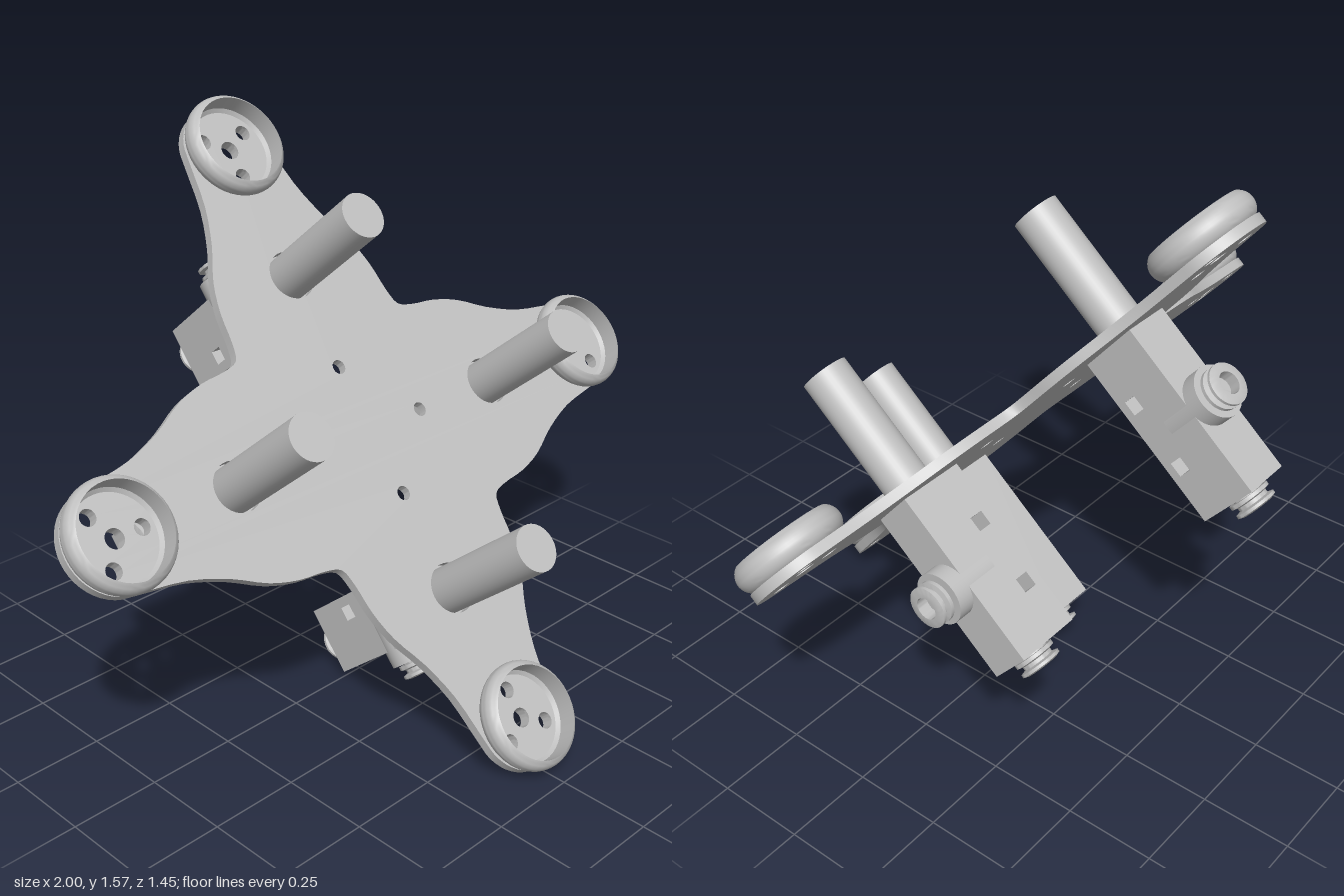
import * as THREE from 'three';
import { toCreasedNormals } from 'three/addons/utils/BufferGeometryUtils.js';

const grey = new THREE.MeshStandardMaterial({ color: 0xbfbfbf });
grey.name = 'light grey';

const THICK = 0.027;        // plate thickness
const POST = 0.471;         // radial position of the posts
const WHEEL = 0.853;        // radial position of the round feet

function part(name, geometry, parent) {
  const mesh = new THREE.Mesh(geometry, grey);
  mesh.name = name;
  parent.add(mesh);
  return mesh;
}

function lathe(points, segments = 40) {
  const g = new THREE.LatheGeometry(points.map(([r, h]) => new THREE.Vector2(r, h)), segments);
  return toCreasedNormals(g, 0.6);
}

function extrude(shape, depth) {
  const g = new THREE.ExtrudeGeometry(shape, { depth, bevelEnabled: false, curveSegments: 20 });
  return toCreasedNormals(g, 0.6);
}

function addRoundHole(shape, x, y, r) {
  const hole = new THREE.Path();
  hole.absarc(x, y, r, 0, Math.PI * 2, true);
  shape.holes.push(hole);
}

// Four mounting holes of a foot: one centred, one inward and two outward
function footHoles(cx) {
  const list = [[cx, 0, 0.026]];
  for (const a of [60, 180, 300]) {
    const t = THREE.MathUtils.degToRad(a);
    list.push([cx + 0.08 * Math.cos(t), 0.08 * Math.sin(t), 0.022]);
  }
  return list;
}

// Four-armed plate with a smooth outline
function plateGeometry() {
  const side = [[0.72, 0.16], [0.61, 0.2], [0.515, 0.25], [0.43, 0.275], [0.345, 0.285]];
  const arm = side.slice().reverse().map(([x, y]) => [x, -y]);
  for (let a = -90; a <= 90; a += 22.5) {
    const t = THREE.MathUtils.degToRad(a);
    arm.push([0.85 + 0.139 * Math.cos(t), 0.139 * Math.sin(t)]);
  }
  arm.push(...side, [0.3, 0.3]);
  const outline = [];
  const holes = [];
  for (let k = 0; k < 4; k++) {
    const c = Math.round(Math.cos(k * Math.PI / 2)), s = Math.round(Math.sin(k * Math.PI / 2));
    const turn = (x, y) => [c * x - s * y, s * x + c * y];
    arm.forEach(([x, y]) => outline.push(new THREE.Vector3(...turn(x, y), 0)));
    for (const [x, y, r] of [...footHoles(WHEEL), [POST, 0, 0.069], [0.19, 0, 0.02]]) {
      holes.push([...turn(x, y), r]);
    }
  }
  const curve = new THREE.CatmullRomCurve3(outline, true, 'centripetal');
  const pts = curve.getPoints(240).slice(0, -1);
  const shape = new THREE.Shape(pts.map(p => new THREE.Vector2(p.x, p.y)));
  holes.forEach(h => addRoundHole(shape, ...h));
  return extrude(shape, THICK);
}

// Rounded outer ring of a foot with a straight inner wall
function ringGeometry() {
  const pts = [[0.1, -0.007]];
  for (let i = 0; i <= 14; i++) {
    const a = THREE.MathUtils.degToRad(-90 + i * 148 / 14);
    pts.push([0.103 + 0.043 * Math.cos(a), 0.036 + 0.043 * Math.sin(a)]);
  }
  pts.push([0.124, 0.018], [0.114, 0.007]);
  return lathe(pts, 48).rotateX(Math.PI / 2);
}

function footFloorGeometry() {
  const shape = new THREE.Shape();
  shape.absarc(0, 0, 0.122, 0, Math.PI * 2, false);
  footHoles(0).forEach(h => addRoundHole(shape, ...h));
  return extrude(shape, 0.008);
}

// Valve block with two square cross holes
function blockGeometry() {
  const top = -THICK + 0.001, bottom = -0.514;
  const shape = new THREE.Shape([[0.36, bottom], [0.553, bottom], [0.553, top], [0.36, top]]
    .map(p => new THREE.Vector2(...p)));
  for (const z of [-0.179, -0.368]) {
    const h = 0.02;
    shape.holes.push(new THREE.Path([[-h, -h], [-h, h], [h, h], [h, -h]]
      .map(([x, y]) => new THREE.Vector2(0.407 + x, z + y))));
  }
  const g = new THREE.ExtrudeGeometry(shape, { depth: 0.137, bevelEnabled: false });
  return g.translate(0, 0, -0.0685).rotateX(Math.PI / 2);
}

// Hose fitting: two flanges, a neck and a bore, pointing along +y
function fittingGeometry() {
  return lathe([[0.042, -0.01], [0.042, 0.006], [0.056, 0.006], [0.056, 0.016], [0.042, 0.02],
    [0.042, 0.03], [0.056, 0.034], [0.056, 0.042], [0.045, 0.046], [0.03, 0.046], [0.03, 0.012], [0, 0.012]]);
}

export function createModel() {
  const root = new THREE.Group();
  root.name = 'gripperPlate';

  // Everything is built flat, with the plate's front face at z = 0, then leaned back
  const tilted = new THREE.Group();
  tilted.name = 'tiltedAssembly';
  tilted.rotation.x = THREE.MathUtils.degToRad(-40);
  tilted.position.set(0, 0.782, 0.045);
  root.add(tilted);

  part('plate', plateGeometry(), tilted).position.z = -THICK;

  const ring = ringGeometry();
  const floor = footFloorGeometry();
  const post = new THREE.CylinderGeometry(0.063, 0.063, 0.395, 40).rotateX(Math.PI / 2);
  const block = blockGeometry();
  const fitting = fittingGeometry();
  const socket = new THREE.CylinderGeometry(0.071, 0.071, 0.145, 40).rotateZ(Math.PI / 2);

  for (let k = 0; k < 4; k++) {
    const arm = new THREE.Group();
    arm.name = 'arm' + (k + 1);
    arm.rotation.z = k * Math.PI / 2;
    tilted.add(arm);

    // Round foot at the end of the arm
    part('footRing', ring, arm).position.x = WHEEL;
    part('footFloor', floor, arm).position.x = WHEEL;

    // Post in front, valve block behind
    part('post', post, arm).position.set(POST, 0, 0.1575);
    part('valveBlock', block, arm);

    // Outward side port
    part('sideSocket', socket, arm).position.set(0.5275, 0, -0.272);
    const sideFitting = part('sideFitting', fitting, arm);
    sideFitting.position.set(0.6, 0, -0.272);
    sideFitting.rotation.z = -Math.PI / 2;

    // Rear port
    const rearFitting = part('rearFitting', fitting, arm);
    rearFitting.position.set(0.47, 0, -0.514);
    rearFitting.rotation.x = -Math.PI / 2;
  }
  return root;
}
